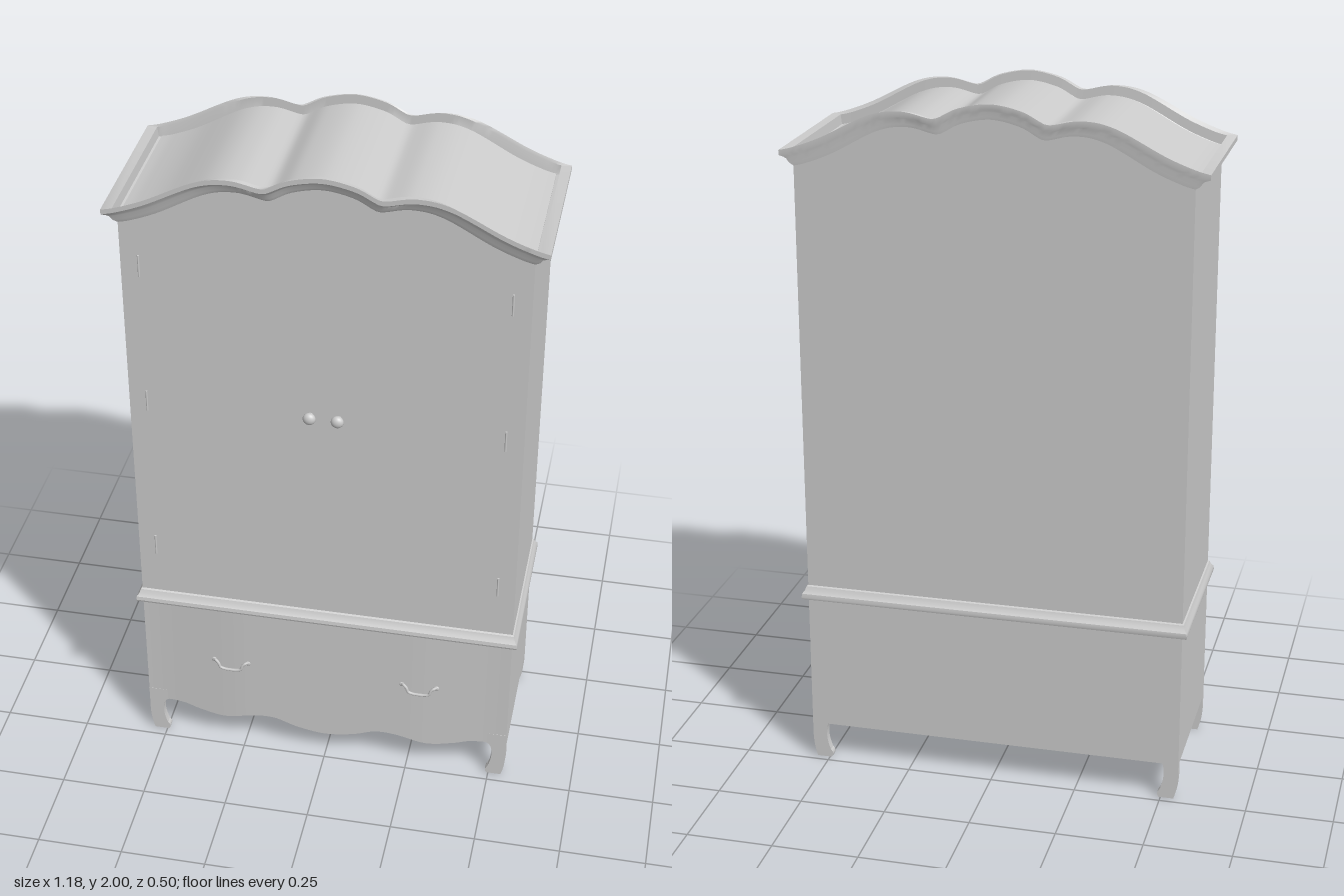
import * as THREE from 'three';
import { toCreasedNormals } from 'three/addons/utils/BufferGeometryUtils.js';

const material = new THREE.MeshStandardMaterial({ color: 0xcccccc });
const HALF = 0.55, FRONT = 0.22, BACK = -0.23, WAIST = 0.525, HEM = 0.11;

// Symmetric height curve y(x) through a few points given for x >= 0
function heightCurve(half) {
  const mirrored = half.slice(1).reverse().map(([x, y]) => [-x, y]);
  const pts = new THREE.SplineCurve([...mirrored, ...half].map(p => new THREE.Vector2(...p))).getPoints(160);
  return x => {
    let i = 1;
    while (i < pts.length - 1 && pts[i].x < x) i++;
    const a = pts[i - 1], b = pts[i];
    return THREE.MathUtils.lerp(a.y, b.y, THREE.MathUtils.clamp((x - a.x) / (b.x - a.x), 0, 1));
  };
}

const crownY = heightCurve([[0, 2], [0.085, 1.985], [0.14, 1.958], [0.165, 1.953], [0.245, 1.968],
  [0.335, 1.953], [0.47, 1.886], [0.55, 1.855], [0.59, 1.845]]);
const hemY = heightCurve([[0, 0.082], [0.085, 0.095], [0.155, 0.119], [0.22, 0.117], [0.31, 0.097],
  [0.39, 0.108], [0.44, 0.122], [0.5, 0.125], [0.55, 0.125]]);
const crownAt = x => crownY(x * 0.59 / HALF);

// Box whose vertices are moved by a rule
function bentBox(w, h, d, segments, rule) {
  const g = new THREE.BoxGeometry(w, h, d, segments, 1, 1);
  const p = g.attributes.position, v = new THREE.Vector3();
  for (let i = 0; i < p.count; i++) {
    rule(v.fromBufferAttribute(p, i));
    p.setXYZ(i, v.x, v.y, v.z);
  }
  return toCreasedNormals(g, 0.5);
}

// Moulding running round the cabinet; section points are [outward 0..1, y offset]
function moulding(section, yAt, outX, outFront, outBack, n) {
  const pos = [], index = [], m = section.length, total = 2 * (n + 1);
  for (let i = 0; i < total; i++) {
    const front = i <= n;
    const t = front ? -1 + 2 * i / n : 1 - 2 * (i - n - 1) / n;
    for (const [o, dy] of section) {
      pos.push(t * (HALF + o * outX), yAt(t * HALF) + dy, front ? FRONT + o * outFront : BACK - o * outBack);
    }
    for (let j = 0; j < m; j++) {
      const i2 = (i + 1) % total, j2 = (j + 1) % m;
      const a = i * m + j, b = i2 * m + j, c = i2 * m + j2, d = i * m + j2;
      index.push(a, b, c, a, c, d);
    }
  }
  const g = new THREE.BufferGeometry();
  g.setAttribute('position', new THREE.Float32BufferAttribute(pos, 3));
  g.setIndex(index);
  return toCreasedNormals(g, 0.5);
}

// Thin curved leg cut from a plate; side is +1 or -1
function legGeometry(side) {
  const s = new THREE.Shape();
  s.moveTo(side * 0.55, 0.16);
  s.lineTo(side * 0.55, 0.1);
  s.quadraticCurveTo(side * 0.552, 0.04, side * 0.538, 0);
  s.lineTo(side * 0.495, 0);
  s.quadraticCurveTo(side * 0.485, 0.012, side * 0.497, 0.025);
  s.quadraticCurveTo(side * 0.514, 0.07, side * 0.505, 0.105);
  s.quadraticCurveTo(side * 0.5, 0.122, side * 0.485, 0.125);
  s.lineTo(side * 0.485, 0.16);
  s.closePath();
  return new THREE.ExtrudeGeometry(s, { depth: 0.022, bevelEnabled: false, curveSegments: 8 });
}

export function createModel() {
  const model = new THREE.Group();
  const add = (name, geometry, x = 0, y = 0, z = 0) => {
    const mesh = new THREE.Mesh(geometry, material);
    mesh.name = name;
    mesh.position.set(x, y, z);
    model.add(mesh);
  };
  const midZ = (FRONT + BACK) / 2, depth = FRONT - BACK;

  // Upper cabinet with the curved roof as its top face
  add('upperCabinet', bentBox(2 * HALF, 1, depth, 96, v => {
    v.y = v.y > 0 ? crownAt(v.x) - 0.026 : WAIST;
    v.z += midZ;
  }));

  // Wavy crown and the straight waist moulding
  const crownSection = [[0, -0.042], [0.3, -0.034], [0.5, -0.022], [0.7, -0.018], [1, -0.014],
    [1, 0], [0.3, 0], [0.2, -0.028], [-0.1, -0.03]];
  add('crownMoulding', moulding(crownSection, crownAt, 0.04, 0.017, 0.005, 96));
  const waistSection = [[-0.5, 0], [0.9, 0], [1, 0.006], [0.9, 0.017], [0.5, 0.026],
    [0.25, 0.037], [0, 0.04], [-0.5, 0.04]];
  add('waistMoulding', moulding(waistSection, () => 0.518, 0.016, 0.02, 0.018, 1));

  // Base: open underneath, with a gently bowed drawer front and scalloped apron
  const bow = x => 0.015 * THREE.MathUtils.smoothstep(0.54 - Math.abs(x), 0, 0.3);
  add('drawerFront', bentBox(2 * HALF, 1, 0.02, 96, v => {
    v.y = v.y > 0 ? WAIST : hemY(v.x);
    v.z += FRONT - 0.01 + bow(v.x);
  }));
  const wallH = WAIST - HEM, wallY = (WAIST + HEM) / 2;
  add('baseBack', new THREE.BoxGeometry(2 * HALF, wallH, 0.02), 0, wallY, BACK + 0.01);

  for (const side of [-1, 1]) {
    const label = side > 0 ? 'left' : 'right';
    add(label + 'BaseSide', new THREE.BoxGeometry(0.02, wallH, depth - 0.01), side * (HALF - 0.01), wallY, midZ);
    add(label + 'FrontLeg', legGeometry(side), 0, 0, FRONT - 0.021);
    add(label + 'BackLeg', legGeometry(side), 0, 0, BACK);

    // Door knob: short stem and ball
    add(label + 'KnobStem', new THREE.CylinderGeometry(0.008, 0.011, 0.016, 16).rotateX(Math.PI / 2),
      side * 0.039, 1.25, FRONT + 0.005);
    add(label + 'Knob', new THREE.SphereGeometry(0.018, 24, 16).scale(1, 1, 0.75),
      side * 0.039, 1.25, FRONT + 0.015);

    // Hinges along the outer door edge
    for (const y of [0.73, 1.24, 1.675]) {
      add(label + 'Hinge', new THREE.CylinderGeometry(0.003, 0.003, 0.065, 8), side * 0.5, y, FRONT + 0.002);
    }

    // Drop handle on the drawer
    const path = new THREE.CatmullRomCurve3([[-0.054, 0.324, -0.004], [-0.046, 0.328, 0.006], [-0.037, 0.32, 0.009],
      [-0.031, 0.306, 0.01], [-0.018, 0.301, 0.01], [0, 0.3, 0.01], [0.018, 0.301, 0.01], [0.031, 0.306, 0.01],
      [0.037, 0.32, 0.009], [0.046, 0.328, 0.006], [0.054, 0.324, -0.004]].map(p => new THREE.Vector3(...p)));
    add(label + 'Handle', new THREE.TubeGeometry(path, 40, 0.0045, 8), side * 0.285, 0, FRONT + bow(0.285));
    for (const end of [-1, 1]) {
      add(label + 'HandleRose', new THREE.SphereGeometry(0.008, 12, 8).scale(1, 1, 0.5),
        side * 0.285 + end * 0.052, 0.325, FRONT + bow(0.285));
    }
  }
  return model;
}
